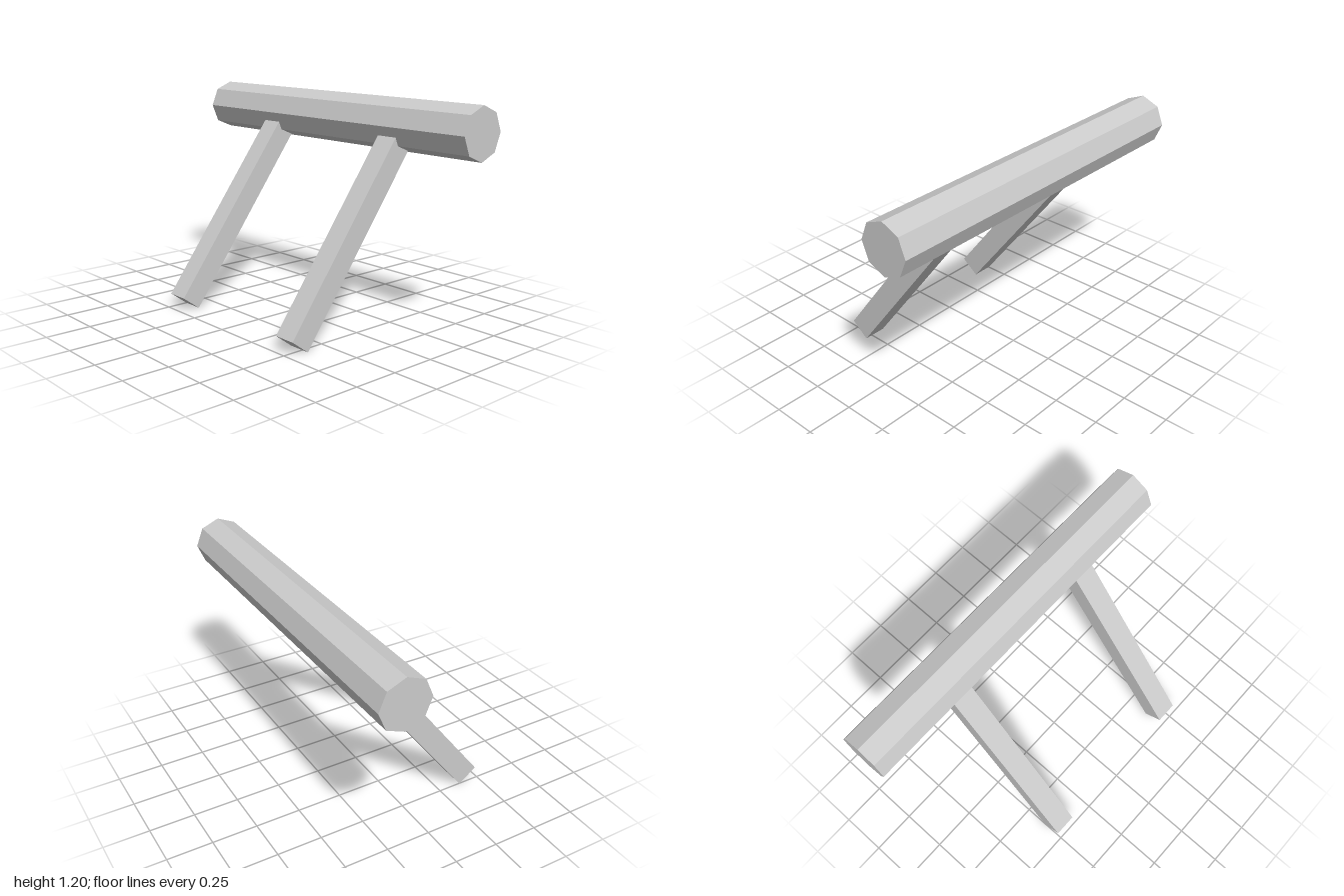
import * as THREE from 'three';

export function createModel() {
  const model = new THREE.Group();
  const material = new THREE.MeshStandardMaterial({ color: 0xcccccc, flatShading: true });
  const foot = new THREE.Vector2(-0.43, 0.04);
  const hub = new THREE.Vector2(0.337, 1.064);

  // Octagonal beam running front to back
  const beam = new THREE.Mesh(new THREE.CylinderGeometry(0.14, 0.14, 2, 8), material);
  beam.name = 'beam';
  beam.rotation.x = Math.PI / 2;
  beam.position.set(hub.x, hub.y, 0);
  model.add(beam);

  // Two slanted square legs reaching into the beam
  const run = hub.clone().sub(foot);
  const legGeometry = new THREE.BoxGeometry(0.125, run.length(), 0.125);
  for (const [name, z] of [['frontLeg', 0.48], ['backLeg', -0.44]]) {
    const leg = new THREE.Mesh(legGeometry, material);
    leg.name = name;
    leg.rotation.z = -Math.atan2(run.x, run.y);
    leg.position.set((foot.x + hub.x) / 2, (foot.y + hub.y) / 2, z);
    model.add(leg);
  }
  return model;
}
